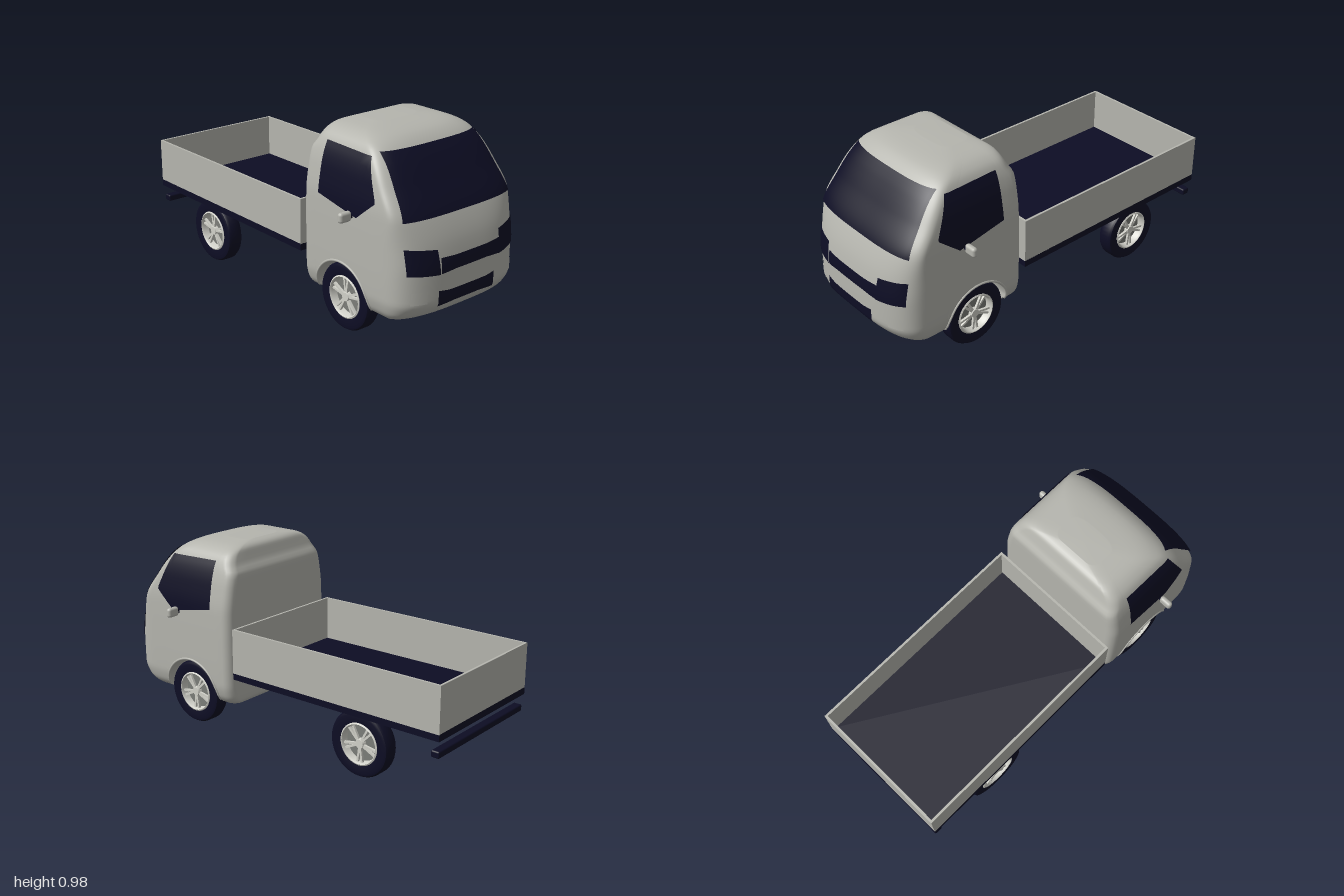
import * as THREE from 'three';
import { mergeVertices, toCreasedNormals } from 'three/addons/utils/BufferGeometryUtils.js';
import { RoundedBoxGeometry } from 'three/addons/geometries/RoundedBoxGeometry.js';

const material = (name, color, side = THREE.FrontSide) => {
  const m = new THREE.MeshStandardMaterial({ color, side });
  m.name = name;
  return m;
};

// Cab outline by height: y, half width, front z, z where the nose curve starts, back z
const KEYS = [
  [0.15, 0.33, 0.86, 0.8, 0.275], [0.17, 0.355, 0.925, 0.8, 0.262], [0.2, 0.372, 0.968, 0.8, 0.26],
  [0.26, 0.384, 0.998, 0.8, 0.26], [0.4, 0.386, 0.996, 0.8, 0.26], [0.5, 0.386, 0.98, 0.8, 0.26],
  [0.64, 0.384, 0.928, 0.82, 0.26], [0.78, 0.365, 0.835, 0.74, 0.26], [0.84, 0.35, 0.792, 0.7, 0.262],
  [0.88, 0.335, 0.76, 0.665, 0.285], [0.92, 0.312, 0.72, 0.62, 0.3], [0.95, 0.272, 0.67, 0.56, 0.312],
  [0.965, 0.225, 0.61, 0.52, 0.33], [0.975, 0.13, 0.52, 0.46, 0.36],
];
const BOTTOM = 0.15, TOP = 0.975;
const ARCH = { z: 0.54, y: 0.17, r: 0.185 };

// Smooth, non-overshooting interpolation of the outline
const slope = (i, k) => (KEYS[i + 1][k] - KEYS[i][k]) / (KEYS[i + 1][0] - KEYS[i][0]);
function tangent(i, k) {
  if (i === 0) return slope(0, k);
  if (i === KEYS.length - 1) return slope(i - 1, k);
  const a = slope(i - 1, k), b = slope(i, k);
  return a * b <= 0 ? 0 : (2 * a * b) / (a + b);
}
function outline(y) {
  let i = 0;
  while (i < KEYS.length - 2 && y > KEYS[i + 1][0]) i++;
  const h = KEYS[i + 1][0] - KEYS[i][0];
  const t = THREE.MathUtils.clamp((y - KEYS[i][0]) / h, 0, 1);
  const [w, front, nose, back] = [1, 2, 3, 4].map((k) =>
    KEYS[i][k] * (1 + 2 * t) * (1 - t) ** 2 + KEYS[i + 1][k] * t * t * (3 - 2 * t) +
    h * (tangent(i, k) * t * (1 - t) ** 2 + tangent(i + 1, k) * t * t * (t - 1)));
  return { w, front, nose, back };
}

// Points on the cab skin, lifted by d
const onFront = (x, y, d) => {
  const o = outline(y);
  return [x, y, o.nose + (o.front - o.nose) * Math.cbrt(Math.max(0, 1 - Math.abs(x / o.w) ** 3)) + d];
};
const onSide = (side) => (z, y, d) => {
  const o = outline(y);
  const f = Math.max(0, (z - o.nose) / (o.front - o.nose));
  return [side * (o.w * Math.cbrt(Math.max(0, 1 - f ** 3)) + d), y, z];
};

// Surface through rows of points
function grid(rows) {
  const n = rows[0].length, index = [];
  for (let r = 0; r < rows.length - 1; r++) {
    for (let c = 0; c < n - 1; c++) {
      const a = r * n + c, b = a + n;
      index.push(a, a + 1, b + 1, a, b + 1, b);
    }
  }
  const g = new THREE.BufferGeometry();
  g.setAttribute('position', new THREE.Float32BufferAttribute(rows.flat(2), 3));
  g.setIndex(index);
  const merged = mergeVertices(g, 1e-5);
  merged.computeVertexNormals();
  return merged;
}

// Thin panel following the skin between a lower and an upper edge
function panel(low, high, place, lift, steps = 12) {
  const spread = (pts) => pts.slice(1).flatMap((p, i) =>
    Array.from({ length: steps + 1 }, (_, s) => pts[i].map((v, k) => v + ((p[k] - v) * s) / steps)));
  const a = spread(low), b = spread(high);
  return grid(Array.from({ length: steps + 1 }, (_, r) => a.map((p, i) => {
    const t = r / steps;
    return place(p[0] + (b[i][0] - p[0]) * t, p[1] + (b[i][1] - p[1]) * t, lift);
  })));
}

// Columns around one half of the cab, from nose centre to back centre
const archAngles = Array.from({ length: 29 }, (_, i) => (i * Math.PI) / 28);
const COLUMNS = [
  ...Array.from({ length: 24 }, (_, i) => ({ nose: (i / 24) * (Math.PI / 2) })),
  ...[0.8, 0.76, ...archAngles.map((a) => ARCH.z + ARCH.r * Math.cos(a)), 0.31].map((z) => ({ z })),
  ...[1, 2, 3, 4, 5].map((i) => ({ corner: (i / 5) * (Math.PI / 2) })),
  ...[0.75, 0.5, 0.25, 0].map((flat) => ({ flat })),
];
function columnPoint(c, y) {
  const o = outline(y), r = 0.05;
  if (c.nose !== undefined)
    return [o.w * Math.sin(c.nose) ** (2 / 3), y, o.nose + (o.front - o.nose) * Math.cos(c.nose) ** (2 / 3)];
  if (c.z !== undefined) return [o.w, y, o.back + r + ((c.z - 0.31) / 0.49) * (o.nose - o.back - r)];
  if (c.corner !== undefined)
    return [o.w - r + r * Math.cos(c.corner), y, o.back + r - r * Math.sin(c.corner)];
  return [(o.w - r) * c.flat, y, o.back];
}
function columnBase(c) {
  const d = c.z === undefined ? 1 : Math.abs(c.z - ARCH.z);
  return d > ARCH.r - 1e-6 ? BOTTOM : ARCH.y + Math.sqrt(ARCH.r ** 2 - d * d);
}
const mirrored = ([x, y, z]) => [-x, y, z];

function cabShell() {
  const rows = [];
  for (let r = 0; r <= 56; r++) {
    const t = (1 - Math.cos((Math.PI * r) / 56)) / 2;
    const half = COLUMNS.map((c) => columnPoint(c, columnBase(c) + (TOP - columnBase(c)) * t));
    rows.push([...half, ...half.slice(0, -1).reverse().map(mirrored)]);
  }
  rows.push(rows[0].map(() => [0, 0.977, 0.44]));
  return grid(rows);
}

// Cab underside with wheel wells
function cabFloor() {
  const rows = COLUMNS.map((c) => {
    const [x, y, z] = columnPoint(c, columnBase(c));
    const inner = Math.min(x, 0.25);
    const half = [[x, y, z], [inner, y, z], [inner, BOTTOM, z]];
    return [...half, ...half.slice().reverse().map(mirrored)];
  });
  return toCreasedNormals(grid(rows), 0.6);
}

export function createModel() {
  const body = material('body grey', 0xb5b5ae, THREE.DoubleSide);
  const dark = material('dark navy', 0x0d0d24, THREE.DoubleSide);
  const alloy = material('alloy', 0xd2d2ca);
  const steel = material('steel grey', 0x7c7e79);
  const model = new THREE.Group();
  model.name = 'pickupTruck';
  const add = (name, geometry, mat, parent = model, x = 0, y = 0, z = 0) => {
    const m = new THREE.Mesh(geometry, mat);
    m.name = name;
    m.position.set(x, y, z);
    parent.add(m);
    return m;
  };
  const box = (name, mat, w, h, d, x, y, z) => add(name, new THREE.BoxGeometry(w, h, d), mat, model, x, y, z);

  // Cab and its front details
  add('cabShell', cabShell(), body);
  add('cabFloor', cabFloor(), body);
  add('windscreen', panel([[-0.343, 0.64], [0.343, 0.64]], [[-0.298, 0.91], [0.298, 0.91]], onFront, 0.009, 32), dark);
  add('grille', panel([[-0.185, 0.39], [-0.1, 0.398], [0.1, 0.398], [0.195, 0.39]],
    [[-0.185, 0.465], [-0.1, 0.461], [0.1, 0.461], [0.195, 0.465]], onFront, 0.006), dark);
  add('lowerIntake', panel([[-0.2, 0.235], [-0.1, 0.245], [0.06, 0.245], [0.155, 0.235]],
    [[-0.2, 0.312], [-0.14, 0.305], [0.1, 0.305], [0.155, 0.312]], onFront, 0.006), dark);

  for (const side of [1, -1]) {
    const order = (pts) => (side > 0 ? pts : pts.slice().reverse());
    const flipX = (pts) => order(pts.map(([x, y]) => [side * x, y]));
    add('headlight', panel(flipX([[0.19, 0.388], [0.345, 0.402]]), flipX([[0.198, 0.505], [0.35, 0.525]]), onFront, 0.006, 16), dark);
    add('fogLampCover', panel(flipX([[0.255, 0.26], [0.33, 0.26]]), flipX([[0.255, 0.32], [0.33, 0.32]]), onFront, 0.003), body);
    add('sideWindow', panel(order([[0.764, 0.7], [0.65, 0.605], [0.385, 0.655]]),
      order([[0.764, 0.712], [0.685, 0.893], [0.385, 0.9]]), onSide(side), 0.006), dark);

    // Wheel arch lip
    const lip = archAngles.map((a) => {
      const y = ARCH.y + ARCH.r * Math.sin(a);
      return new THREE.Vector3(side * outline(y).w, y, ARCH.z + ARCH.r * Math.cos(a));
    });
    add('archLip', new THREE.TubeGeometry(new THREE.CatmullRomCurve3(lip), 40, 0.006, 8), body);

    // Door mirror
    box('mirrorStalk', dark, 0.03, 0.02, 0.015, side * 0.385, 0.607, 0.615);
    add('mirror', new RoundedBoxGeometry(0.068, 0.05, 0.03, 4, 0.014), body, model, side * 0.428, 0.609, 0.615);

    // Load bed side and chassis rail
    box('bedSide', body, 0.012, 0.232, 1.24, side * 0.373, 0.461, -0.38);
    box('chassisRail', dark, 0.055, 0.04, 1.25, side * 0.175, 0.297, -0.3);
  }

  // Load bed
  box('bedFloor', dark, 0.758, 0.035, 1.24, 0, 0.3295, -0.38);
  box('bedFront', body, 0.735, 0.232, 0.012, 0, 0.461, 0.234);
  box('tailgate', body, 0.735, 0.232, 0.012, 0, 0.461, -0.994);
  add('rearBumper', new RoundedBoxGeometry(0.74, 0.035, 0.045, 3, 0.008), dark, model, 0, 0.242, -0.974);

  // Wheels: built around y, then turned outwards
  const lathe = (pts) => toCreasedNormals(new THREE.LatheGeometry(pts.map((p) => new THREE.Vector2(...p)), 48), 0.6);
  const tyre = lathe([[0.106, -0.036], [0.148, -0.0425], [0.16, -0.038], [0.167, -0.026], [0.167, 0.026],
    [0.16, 0.038], [0.148, 0.0425], [0.106, 0.036]]);
  const rim = lathe([[0.092, -0.038], [0.107, -0.04], [0.107, 0.038], [0.1, 0.042], [0.094, 0.032], [0.092, -0.038]]);
  const disc = new THREE.CylinderGeometry(0.092, 0.092, 0.01, 40);
  const hub = new THREE.CylinderGeometry(0.022, 0.027, 0.02, 24);
  const spoke = new THREE.BoxGeometry(0.076, 0.012, 0.011);
  for (const z of [0.54, -0.545]) {
    for (const side of [1, -1]) {
      const wheel = new THREE.Group();
      wheel.name = z > 0 ? 'frontWheel' : 'rearWheel';
      wheel.position.set(side * 0.3225, 0.168, z);
      wheel.rotation.z = (-side * Math.PI) / 2;
      model.add(wheel);
      add('tyre', tyre, dark, wheel);
      add('rim', rim, alloy, wheel);
      add('brakeDisc', disc, steel, wheel, 0, -0.002, 0);
      add('hub', hub, alloy, wheel, 0, 0.024, 0);
      add('innerHub', hub, steel, wheel, 0, -0.016, 0);
      for (let i = 0; i < 10; i++) {
        const a = (Math.floor(i / 2) * 2 * Math.PI) / 5 + (i % 2 ? 0.14 : -0.14);
        const s = add('spoke', spoke, alloy, wheel, Math.cos(a) * 0.056, 0.024, Math.sin(a) * 0.056);
        s.rotation.y = -a;
      }
    }
  }
  return model;
}
